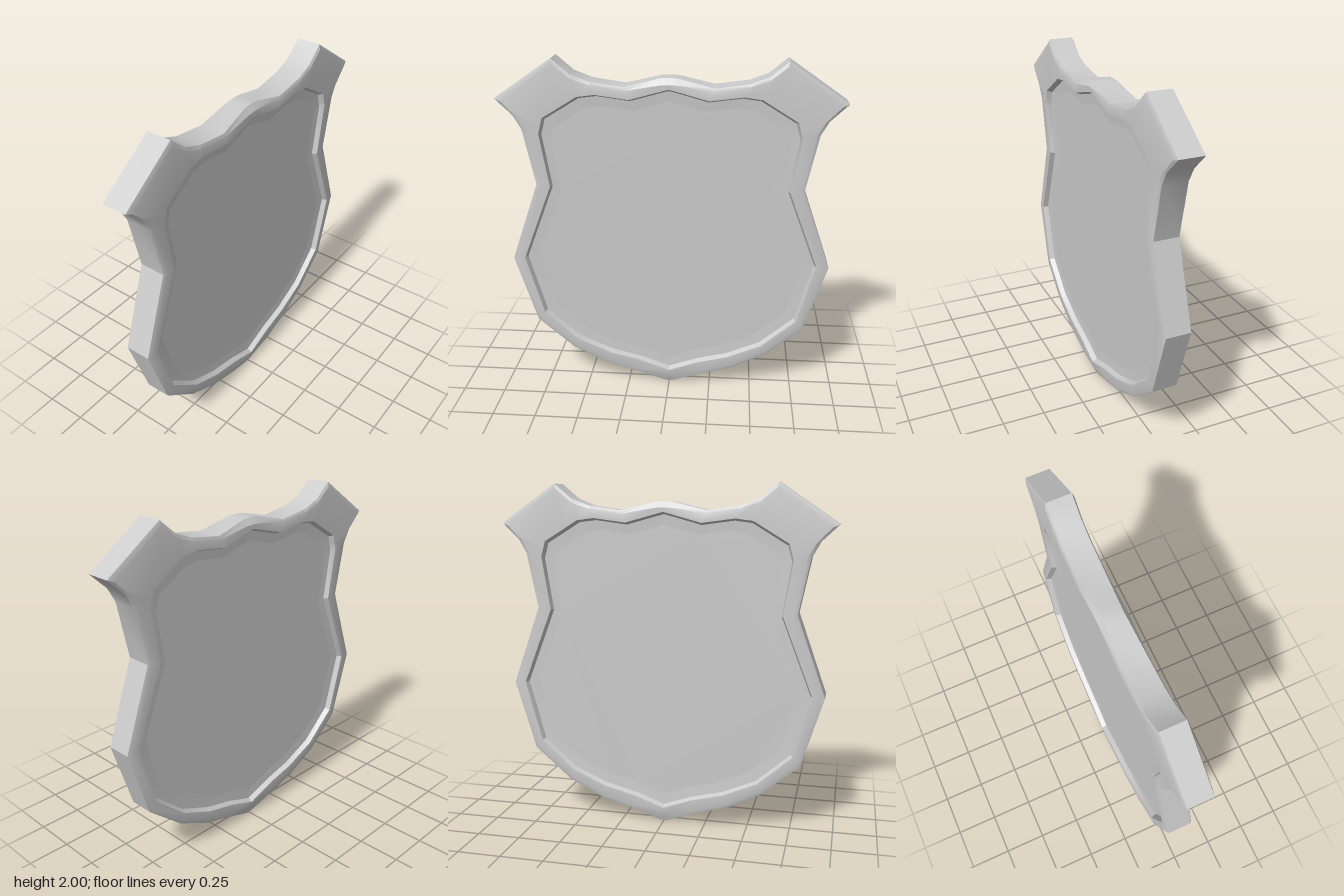
import * as THREE from 'three';
import { toCreasedNormals } from 'three/addons/utils/BufferGeometryUtils.js';

// Left half of the outline, top centre to bottom tip:
// outer x, outer y, inner x, inner y, half thickness at the edge, bevel width
const HALF = [
  [0, 1.9, 0, 1.84, 0.055, 0.035],
  [0.05, 1.897, 0.05, 1.827, 0.057, 0.035],
  [0.25, 1.848, 0.22, 1.78, 0.072, 0.02],
  [0.44, 1.875, 0.41, 1.805, 0.072, 0.02],
  [0.545, 1.915, 0.51, 1.792, 0.072, 0.025],
  [0.645, 2.0, 0.59, 1.743, 0.07, 0.03],
  [0.975, 1.775, 0.71, 1.67, 0.07, 0.04],
  [0.875, 1.68, 0.722, 1.625, 0.072, 0.025],
  [0.83, 1.6, 0.735, 1.58, 0.072, 0.02],
  [0.765, 1.28, 0.685, 1.27, 0.072, 0.02],
  [0.93, 0.815, 0.86, 0.82, 0.072, 0.02],
  [0.805, 0.41, 0.76, 0.46, 0.072, 0.02],
  [0.59, 0.225, 0.56, 0.285, 0.072, 0.02],
  [0.39, 0.125, 0.36, 0.198, 0.072, 0.02],
  [0.19, 0.07, 0.175, 0.152, 0.075, 0.02],
  [0.02, 0, 0.02, 0.097, 0.052, 0.07],
  [0, 0, 0, 0.09, 0.052, 0.07],
];
const OUTLINE = [
  ...HALF,
  ...HALF.slice(1, -1).reverse().map(([ox, oy, ix, iy, z, b]) => [-ox, oy, -ix, iy, z, b]),
];
const FACE_Z = 0.08, RECESS_Z = 0.05, PANEL_Z = 0.046;

const shrink = (x, y, s) => [x * s, 1 + (y - 1) * s];

// Cross-section rings of one face, from the panel outwards
function faceRings(side) {
  const ring = (f) => OUTLINE.map((p) => {
    const [x, y, z] = f(...p);
    return [x, y, z * side];
  });
  return [
    ring((ox, oy, ix, iy) => [...shrink(ix, iy, 0.985), RECESS_Z]),
    ring((ox, oy, ix, iy) => [ix, iy, FACE_Z]),
    ring((ox, oy, ix, iy, z, bevel) => {
      const t = bevel / Math.hypot(ix - ox, iy - oy);
      return [ox + (ix - ox) * t, oy + (iy - oy) * t, FACE_Z];
    }),
    ring((ox, oy, ix, iy, z) => [ox, oy, z]),
  ];
}

// Skin consecutive rings with quads
function loft(rings, crease) {
  const pos = [];
  for (let k = 0; k < rings.length - 1; k++) {
    const r0 = rings[k], r1 = rings[k + 1], n = r0.length;
    for (let i = 0; i < n; i++) {
      const j = (i + 1) % n;
      const [a, b, c, d] = [r0[i], r0[j], r1[j], r1[i]];
      pos.push(...a, ...b, ...c, ...a, ...c, ...d);
    }
  }
  const g = new THREE.BufferGeometry();
  g.setAttribute('position', new THREE.Float32BufferAttribute(pos, 3));
  return toCreasedNormals(g, crease);
}

export function createModel() {
  const group = new THREE.Group();
  group.name = 'shield';
  const material = new THREE.MeshStandardMaterial({ color: 0xcccccc });
  const add = (geometry, name, parent = group) => {
    const mesh = new THREE.Mesh(geometry, material);
    mesh.name = name;
    parent.add(mesh);
  };

  // Raised frame with horned corners, bevelled on both faces
  const front = faceRings(1);
  add(loft([...front, ...faceRings(-1).reverse()], 0.45), 'frame');

  // Recessed panels: a soft sloping border around a flat field
  const border = front[0];
  const field = border.map(([x, y]) => [...shrink(x, y, 0.93), PANEL_Z]);
  const borderGeometry = loft([field, border], 0.6);
  const fieldGeometry = new THREE.ShapeGeometry(
    new THREE.Shape(field.map(([x, y]) => new THREE.Vector2(x, y)))
  ).translate(0, 0, PANEL_Z);
  for (const [name, turn] of [['frontPanel', 0], ['backPanel', Math.PI]]) {
    const panel = new THREE.Group();
    panel.name = name;
    panel.rotation.y = turn;
    add(borderGeometry, name + 'Border', panel);
    add(fieldGeometry, name + 'Field', panel);
    group.add(panel);
  }
  return group;
}
